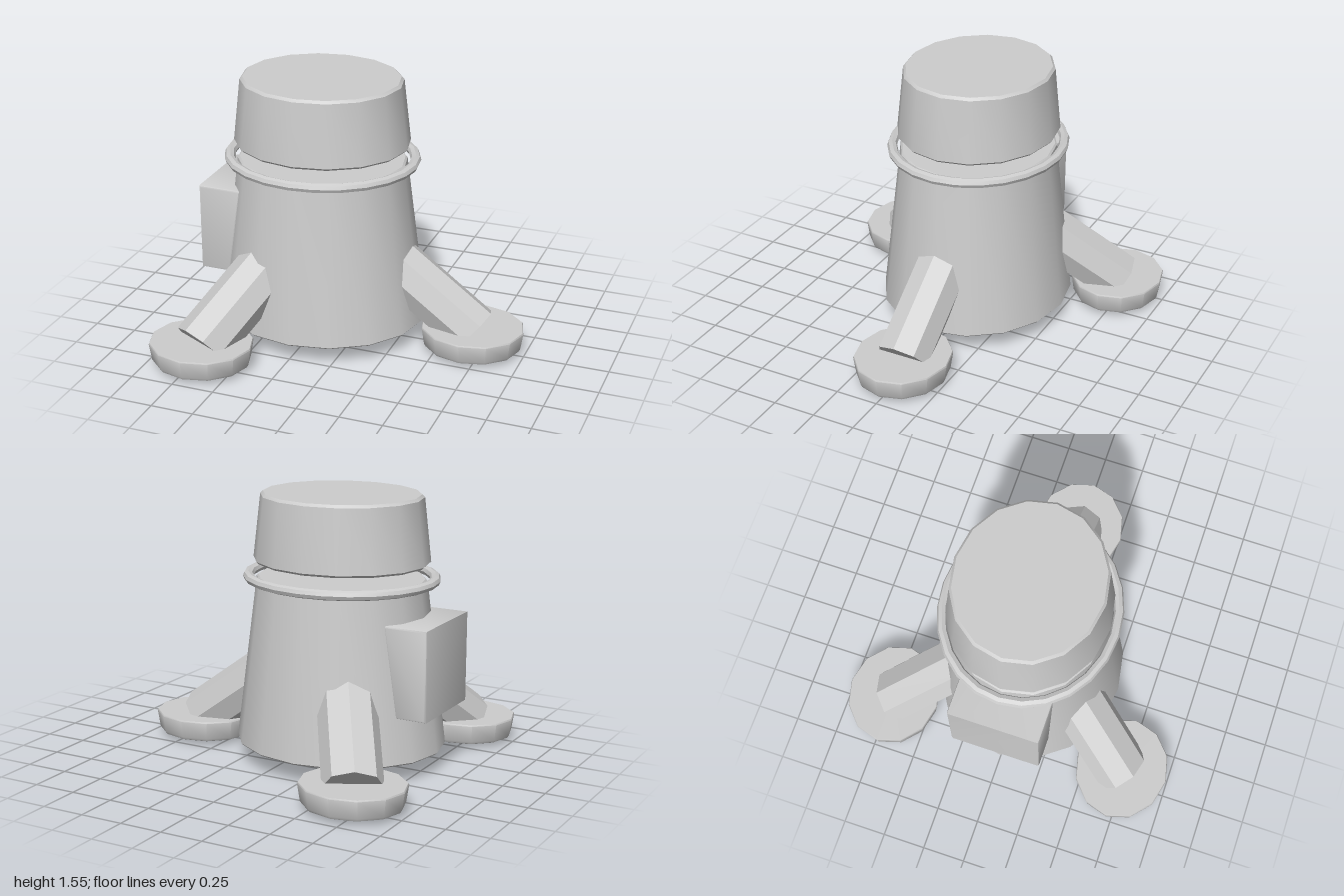
import * as THREE from 'three';
import { toCreasedNormals } from 'three/addons/utils/BufferGeometryUtils.js';

const grey = new THREE.MeshStandardMaterial({ color: 0xcccccc });
grey.name = 'grey';

function part(name, geometry, parent) {
  const mesh = new THREE.Mesh(toCreasedNormals(geometry, 0.6), grey);
  mesh.name = name;
  parent.add(mesh);
  return mesh;
}

// Turned solid from [radius, height] pairs, listed bottom to top
function turned(points, sides) {
  return new THREE.LatheGeometry(points.map(([r, y]) => new THREE.Vector2(r, y)), sides);
}

export function createModel() {
  const model = new THREE.Group();
  model.name = 'tripodCanister';

  // Everything round is slightly stretched along x
  const round = new THREE.Group();
  round.name = 'roundParts';
  round.position.x = -0.235;
  round.scale.x = 1.11;
  model.add(round);

  // Tapered body
  part('body', turned([[0, 0.115], [0.545, 0.115], [0.552, 0.123], [0.446, 1.065], [0.436, 1.075], [0, 1.075]], 16), round);

  // Floating cap with softened rims
  part('cap', turned([[0, 1.165], [0.45, 1.165], [0.462, 1.178], [0.425, 1.54], [0.411, 1.555], [0, 1.555]], 16), round);

  // Collar ring
  const ring = part('collarRing', new THREE.TorusGeometry(0.488, 0.028, 8, 24), round);
  ring.rotation.x = Math.PI / 2;
  ring.position.y = 1.077;

  // Three slanted legs with disc feet
  const tilt = 0.888, length = 0.6, reach = 0.833;
  for (let i = 0; i < 3; i++) {
    const support = new THREE.Group();
    support.name = 'support' + (i + 1);
    support.rotation.y = (i * Math.PI * 2) / 3;
    round.add(support);

    const leg = part('leg', new THREE.CylinderGeometry(0.155, 0.155, length, 8), support);
    leg.rotation.z = tilt;
    leg.position.set(reach - Math.sin(tilt) * length / 2, 0.122 + Math.cos(tilt) * length / 2, 0);

    const foot = part('foot', turned([[0, 0.023], [0.235, 0.023], [0.252, 0.03], [0.26, 0.045], [0.274, 0.142], [0.27, 0.15], [0, 0.15]], 12), support);
    foot.position.x = reach;
  }

  // Wedge-shaped side pack
  const bevel = 0.012;
  const outline = new THREE.Shape([[-0.888, 0.39], [-0.727, 0.39], [-0.65, 0.883], [-0.888, 0.883]]
    .map(([x, y]) => new THREE.Vector2(x, y)));
  const pack = part('sidePack', new THREE.ExtrudeGeometry(outline, {
    depth: 0.54 - 2 * bevel, bevelEnabled: true, bevelThickness: bevel, bevelSize: bevel, bevelSegments: 2,
  }), model);
  pack.position.z = -0.27 + bevel;

  return model;
}
